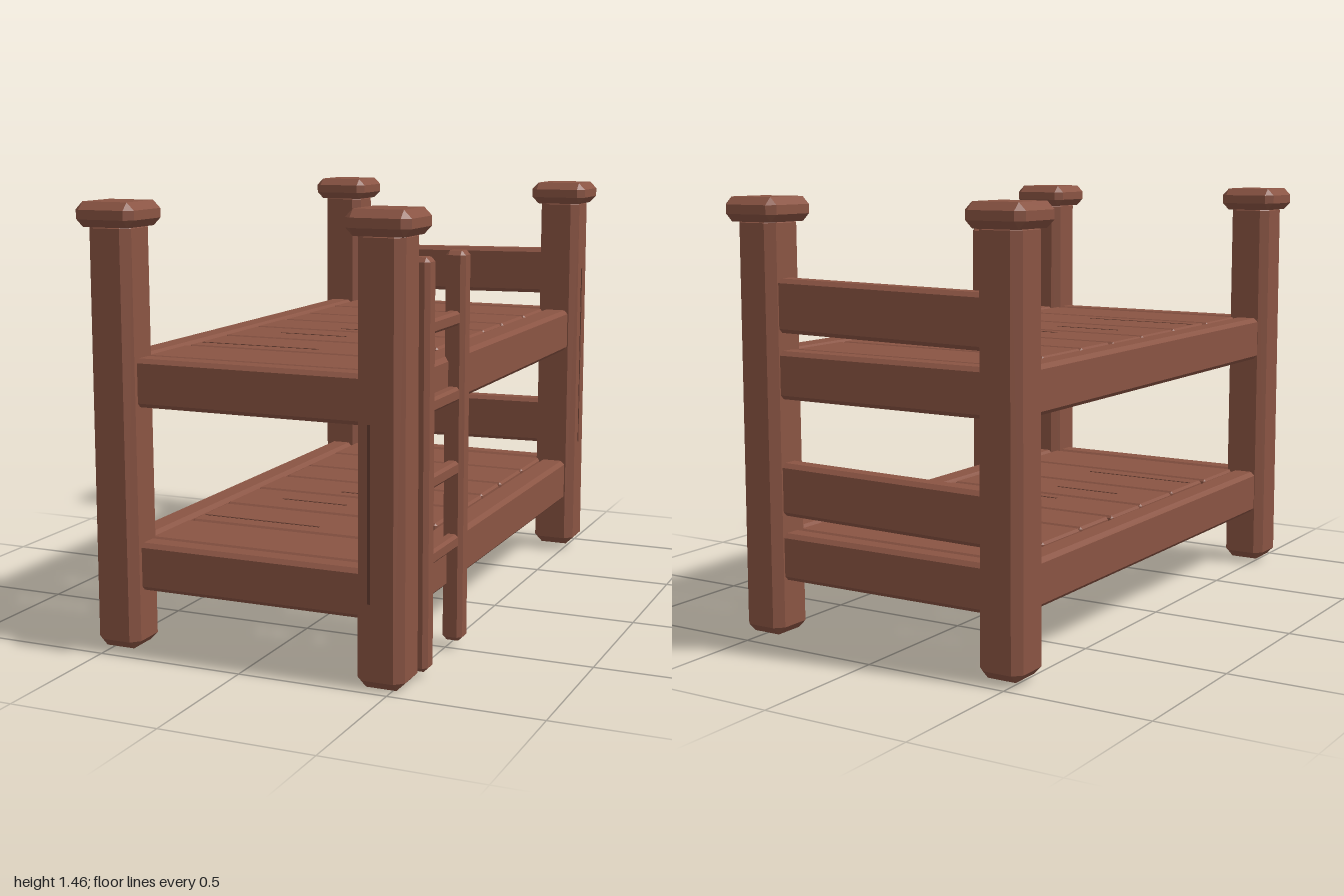
import * as THREE from 'three';
import { ConvexGeometry } from 'three/addons/geometries/ConvexGeometry.js';

const wood = new THREE.MeshStandardMaterial({ color: 0x8a5443 });
wood.name = 'wood';
const crackWood = new THREE.MeshStandardMaterial({ color: 0x633c30 });
crackWood.name = 'crackWood';

// Box between two corners with bevelled edges; taper narrows its top
function beam(name, [x0, y0, z0], [x1, y1, z1], bevel, taper = 1) {
  const h = [(x1 - x0) / 2, (y1 - y0) / 2, (z1 - z0) / 2];
  const points = [];
  for (const sx of [-1, 1]) for (const sy of [-1, 1]) for (const sz of [-1, 1]) {
    for (let full = 0; full < 3; full++) {
      const [x, y, z] = h.map((v, i) => (i === full ? v : v - bevel));
      const k = sy > 0 ? taper : 1;
      points.push(new THREE.Vector3(sx * x * k, sy * y, sz * z * k));
    }
  }
  const mesh = new THREE.Mesh(new ConvexGeometry(points), wood);
  mesh.name = name;
  mesh.position.set((x0 + x1) / 2, (y0 + y1) / 2, (z0 + z1) / 2);
  return mesh;
}

// Thin plate marking a split in the wood
function crack(x, y, z, w, h, d) {
  const mesh = new THREE.Mesh(new THREE.BoxGeometry(w, h, d), crackWood);
  mesh.name = 'crack';
  mesh.position.set(x, y, z);
  return mesh;
}

export function createModel() {
  const model = new THREE.Group();
  model.name = 'bunkBed';

  // Four corner posts with square caps
  for (const sx of [-1, 1]) for (const sz of [-1, 1]) {
    const x = sx * 0.46, z = sz * 0.894;
    const foot = sx > 0 ? (sz > 0 ? 0 : 0.02) : 0.012;
    model.add(beam('cornerPost', [x - 0.078, foot, z - 0.08], [x + 0.078, 1.4, z + 0.08], 0.028, 0.97));
    model.add(beam('postCap', [x - 0.105, 1.375, z - 0.105], [x + 0.105, 1.455, z + 0.105], 0.025));
  }

  // Two bunks: side rails, end rails and slats
  const slatEdges = [[-0.85, -0.612], [-0.602, -0.36], [-0.35, -0.157], [-0.147, 0.06],
    [0.072, 0.312], [0.325, 0.575], [0.588, 0.835]];
  for (const y of [0.205, 0.805]) {
    const bunk = new THREE.Group();
    bunk.name = y < 0.5 ? 'lowerBunk' : 'upperBunk';
    const top = y + 0.157;
    bunk.add(beam('rightRail', [-0.508, y, -0.84], [-0.415, top, 0.84], 0.014));
    bunk.add(beam('leftRail', [0.405, y, -0.84], [0.505, top, 0.84], 0.014));
    bunk.add(beam('footRail', [-0.4, y, 0.845], [0.4, top, 0.93], 0.014));
    bunk.add(beam('headRail', [-0.4, y, -0.94], [0.4, top, -0.86], 0.014));
    slatEdges.forEach(([z0, z1], i) => {
      const inset = (i % 3) * 0.004;
      bunk.add(beam('slat', [-0.405 + inset, top - 0.064, z0], [0.397 - inset / 2, top - 0.002, z1], 0.008));
    });
    // Long splits in the slats
    for (const [x, z, w] of [[0.08, 0.01, 0.34], [-0.115, 0.19, 0.25], [-0.165, 0.505, 0.43]]) {
      bunk.add(crack(x, top - 0.002, z, w, 0.002, 0.009));
    }
    // Extra headboard plank above the mattress level
    const plank = beam('headboardPlank', [-0.4, y + 0.21, -0.94], [0.4, y + 0.385, -0.865], 0.014);
    plank.rotation.z = 0.014;
    bunk.add(plank);
    model.add(bunk);
  }

  // Ladder against the left side by the foot end
  const ladder = new THREE.Group();
  ladder.name = 'ladder';
  ladder.add(beam('ladderPost', [0.488, 0.02, 0.752], [0.558, 1.305, 0.82], 0.014));
  ladder.add(beam('ladderPost', [0.488, 0.025, 0.438], [0.556, 1.3, 0.507], 0.014));
  for (const y of [0.363, 0.605, 0.845, 1.088]) {
    ladder.add(beam('rung', [0.5, y - 0.023, 0.46], [0.543, y + 0.023, 0.79], 0.009));
  }
  model.add(ladder);

  // Upright splits in two of the posts
  model.add(crack(0.43, 0.545, 0.972, 0.009, 0.55, 0.004));
  model.add(crack(0.536, 0.775, -0.89, 0.004, 0.69, 0.009));
  return model;
}
